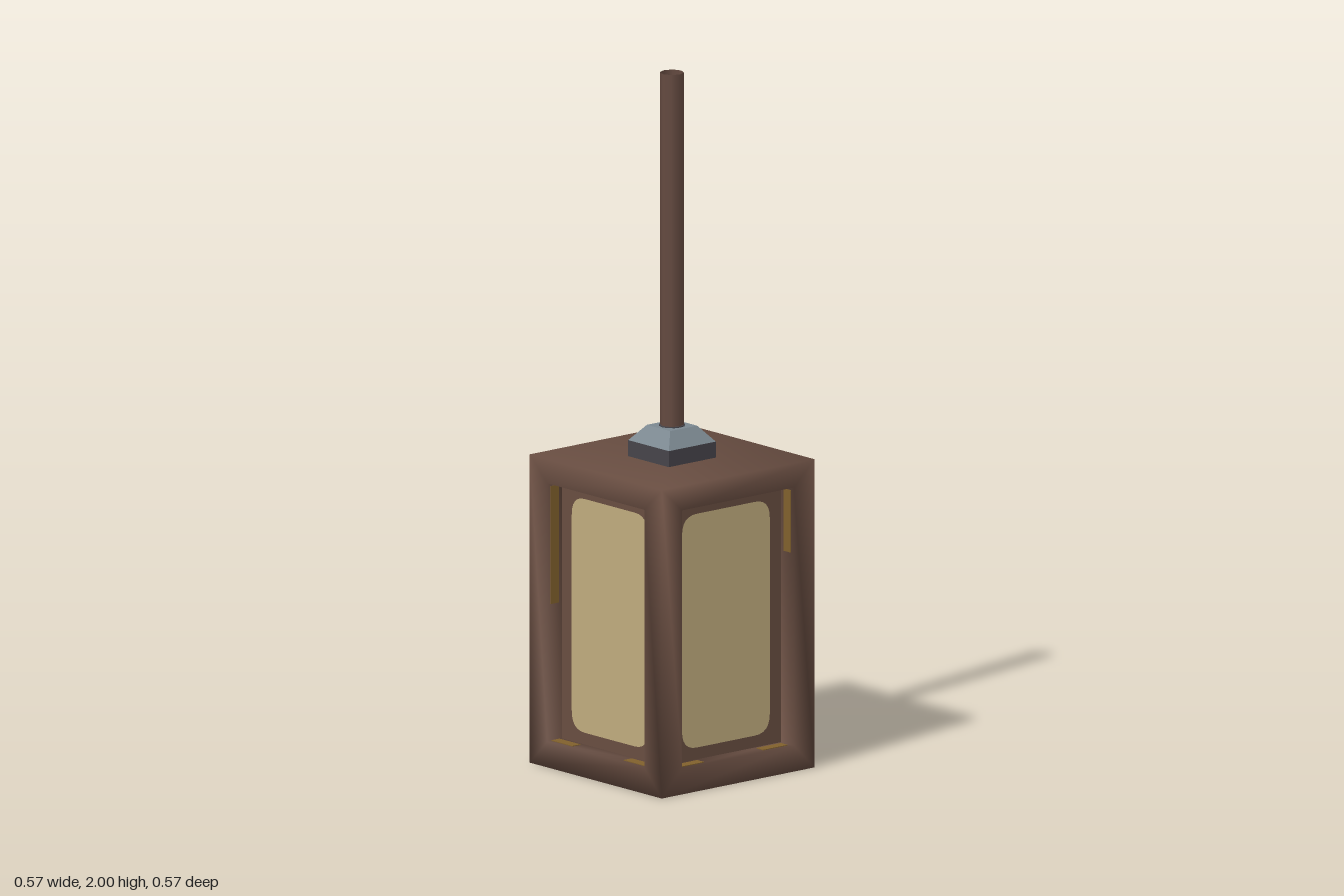
import * as THREE from 'three';
import { mergeVertices } from 'three/addons/utils/BufferGeometryUtils.js';

const W = 0.283, H = 0.89;               // body half width and height
const IW = 0.208, IB = 0.075, IT = 0.82; // window opening
const DEEP = 0.228;                      // distance of the recessed panels from the axis

const mat = (name, color, side = THREE.FrontSide) => {
  const m = new THREE.MeshStandardMaterial({ color, side });
  m.name = name;
  return m;
};

// Corners of an upright rectangle facing +z, counter-clockwise
const rect = (w, y0, y1, z) =>
  [[-w, y0], [w, y0], [w, y1], [-w, y1]].map(([x, y]) => new THREE.Vector3(x, y, z));

// Frame with four openings and their reveals, welded so the shading runs softly over the edges
function frameGeometry() {
  const pos = [];
  const quad = (a, b, c, d) => [a, b, c, a, c, d].forEach(v => pos.push(
    Math.round(v.x * 1e4) / 1e4, Math.round(v.y * 1e4) / 1e4, Math.round(v.z * 1e4) / 1e4));
  const up = new THREE.Vector3(0, 1, 0);
  for (let side = 0; side < 4; side++) {
    const loops = [rect(W, 0, H, W), rect(IW, IB, IT, W), rect(IW, IB, IT, DEEP)];
    loops.flat().forEach(v => v.applyAxisAngle(up, side * Math.PI / 2));
    for (let l = 0; l < 2; l++) {
      for (let i = 0; i < 4; i++) {
        const j = (i + 1) % 4;
        quad(loops[l][i], loops[l][j], loops[l + 1][j], loops[l + 1][i]);
      }
    }
  }
  const flat = y => [[-W, W], [W, W], [W, -W], [-W, -W]].map(([x, z]) => new THREE.Vector3(x, y, z));
  quad(...flat(H));
  quad(...flat(0).reverse());
  const g = new THREE.BufferGeometry();
  g.setAttribute('position', new THREE.Float32BufferAttribute(pos, 3));
  const welded = mergeVertices(g);
  welded.computeVertexNormals();
  return welded;
}

// Rounded upright pane
function paneShape(w, y0, y1, r) {
  const s = new THREE.Shape();
  s.moveTo(-w + r, y0);
  s.lineTo(w - r, y0);
  s.quadraticCurveTo(w, y0, w, y0 + r);
  s.lineTo(w, y1 - r);
  s.quadraticCurveTo(w, y1, w - r, y1);
  s.lineTo(-w + r, y1);
  s.quadraticCurveTo(-w, y1, -w, y1 - r);
  s.lineTo(-w, y0 + r);
  s.quadraticCurveTo(-w, y0, -w + r, y0);
  return s;
}

export function createModel() {
  const model = new THREE.Group();
  model.name = 'hangingLantern';
  const wood = mat('brown wood', 0x684d41);
  const rodWood = mat('rod brown', 0x644a40, THREE.DoubleSide);
  const paper = mat('cream pane', 0xc0ac7e);
  const gold = mat('old gold', 0x80602c);
  const steel = mat('blue grey metal', 0x7b8890);
  const dark = mat('dark metal', 0x46444a);

  const add = (parent, name, geometry, material, x = 0, y = 0, z = 0) => {
    const m = new THREE.Mesh(geometry, material);
    m.name = name;
    m.position.set(x, y, z);
    parent.add(m);
    return m;
  };

  add(model, 'frame', frameGeometry(), wood);

  // Recessed panel, pane and worn gilding on each side
  const panel = new THREE.PlaneGeometry(IW * 2, IT - IB);
  const pane = new THREE.ShapeGeometry(paneShape(0.163, 0.11, 0.785, 0.055), 6);
  const T = 0.004, midZ = (W + DEEP) / 2;
  const gilding = [ // width, height, depth, x, y
    [T, 0.34, 0.03, -IW, 0.64],
    [T, 0.18, 0.03, IW, 0.72],
    [IW * 2, T, 0.025, 0, IT],
    [0.09, T, 0.03, -0.16, IB],
    [0.09, T, 0.03, 0.15, IB],
  ];
  for (let side = 0; side < 4; side++) {
    const window = new THREE.Group();
    window.name = 'window';
    window.rotation.y = side * Math.PI / 2;
    add(window, 'panel', panel, wood, 0, (IB + IT) / 2, DEEP);
    add(window, 'pane', pane, paper, 0, 0, DEEP + 0.003);
    for (const [w, h, d, x, y] of gilding) {
      add(window, 'gilding', new THREE.BoxGeometry(w, h, d), gold, x, y, midZ);
    }
    model.add(window);
  }

  // Square metal mount: dark base, tapered shoulder, dark socket
  add(model, 'mountBase', new THREE.BoxGeometry(0.176, 0.047, 0.176), dark, 0, 0.9125, 0);
  const shoulder = new THREE.CylinderGeometry(0.05 * Math.SQRT2, 0.088 * Math.SQRT2, 0.046, 4, 1);
  shoulder.rotateY(Math.PI / 4);
  const facets = shoulder.toNonIndexed();
  facets.computeVertexNormals();
  add(model, 'mountShoulder', facets, steel, 0, 0.958, 0);
  add(model, 'socket', new THREE.CylinderGeometry(0.037, 0.037, 0.004, 12), dark, 0, 0.982, 0);

  // Long hollow hanging rod
  add(model, 'rod', new THREE.CylinderGeometry(0.034, 0.034, 1.03, 8, 1, true), rodWood, 0, 1.485, 0);
  return model;
}
